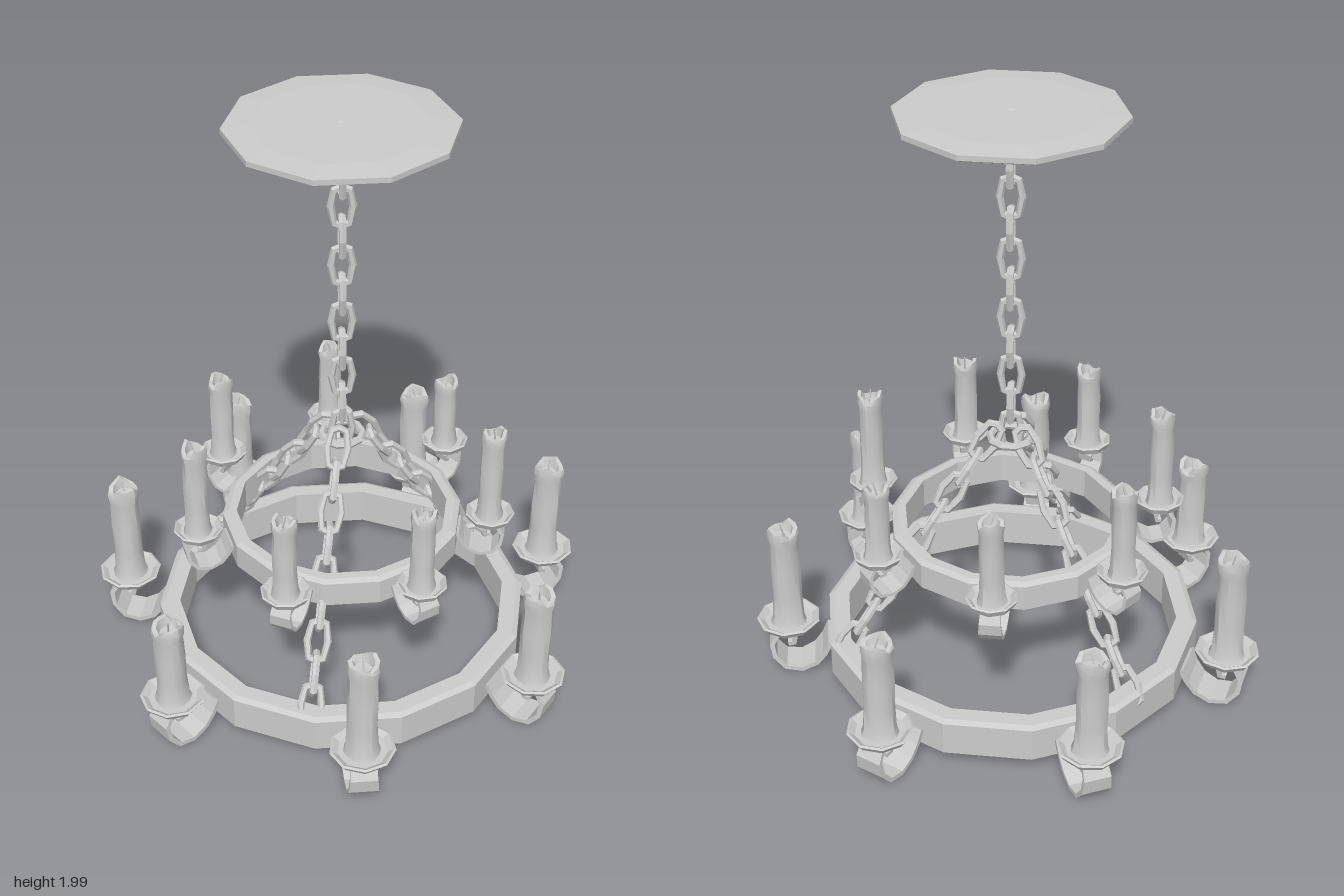
import * as THREE from 'three';
import { toCreasedNormals } from 'three/addons/utils/BufferGeometryUtils.js';

const flat = new THREE.MeshStandardMaterial({ color: 0xcccccc, flatShading: true });
const smooth = new THREE.MeshStandardMaterial({ color: 0xcccccc });
const UP = new THREE.Vector3(0, 1, 0);

function add(parent, name, geometry, material = flat) {
  const mesh = new THREE.Mesh(geometry, material);
  mesh.name = name;
  parent.add(mesh);
  return mesh;
}

function lathe(profile, sides, start = 0) {
  return new THREE.LatheGeometry(profile.map(p => new THREE.Vector2(...p)), sides, start);
}

// Hoop of rectangular section with chamfered outer edges
function hoopGeometry(rOut, rIn, y0, y1) {
  const c = 0.018;
  return lathe([[rIn, y0], [rOut - c, y0], [rOut, y0 + c / 2], [rOut, y1 - c / 2],
    [rOut - c, y1], [rIn, y1], [rIn, y0]], 14, Math.PI / 2);
}

// Oval link: a low-sided torus pulled apart along y
function linkGeometry() {
  const g = new THREE.TorusGeometry(0.034, 0.0125, 6, 8);
  const p = g.attributes.position;
  for (let i = 0; i < p.count; i++) {
    const y = p.getY(i);
    p.setY(i, y + 0.032 * THREE.MathUtils.clamp(y / 0.014, -1, 1));
  }
  return g;
}

// Links spaced from a to b, each turned a quarter from the last
function chain(parent, name, link, a, b, count) {
  const group = new THREE.Group();
  group.name = name;
  const align = new THREE.Quaternion().setFromUnitVectors(UP, a.clone().sub(b).normalize());
  for (let i = 0; i < count; i++) {
    const m = add(group, 'chainLink', link);
    m.position.lerpVectors(a, b, i / (count - 1));
    const turn = new THREE.Quaternion().setFromAxisAngle(UP, i % 2 ? Math.PI / 2 : 0);
    m.quaternion.copy(align).multiply(turn);
  }
  parent.add(group);
}

// Curled strap: rectangles swept along a path in the z-y plane, tapering to the tip
function strapGeometry() {
  const path = [[-0.135, 0.13], [-0.115, 0.085], [-0.085, 0.045], [-0.035, 0.02], [0.02, 0.03],
    [0.055, 0.075], [0.062, 0.125], [0.04, 0.162], [0.005, 0.168], [-0.018, 0.143], [-0.012, 0.115], [0.008, 0.112]];
  const pos = [], idx = [], n = path.length, half = 0.008;
  path.forEach(([z, y], i) => {
    const [z0, y0] = path[Math.max(i - 1, 0)], [z1, y1] = path[Math.min(i + 1, n - 1)];
    const len = Math.hypot(z1 - z0, y1 - y0);
    const ny = half * (z1 - z0) / len, nz = -half * (y1 - y0) / len;
    const w = 0.065 - 0.037 * i / (n - 1);
    pos.push(-w, y - ny, z - nz, w, y - ny, z - nz, w, y + ny, z + nz, -w, y + ny, z + nz);
    if (i === n - 1) return;
    for (let j = 0; j < 4; j++) {
      const a = i * 4 + j, b = i * 4 + (j + 1) % 4;
      idx.push(a, b, b + 4, a, b + 4, a + 4);
    }
  });
  const e = (n - 1) * 4;
  idx.push(0, 3, 2, 0, 2, 1, e, e + 1, e + 2, e, e + 2, e + 3);
  const g = new THREE.BufferGeometry();
  g.setAttribute('position', new THREE.Float32BufferAttribute(pos, 3));
  g.setIndex(idx);
  g.computeVertexNormals();
  return g;
}

// Partly melted candle: flared foot, uneven sides, ragged sunken top
function candleGeometry(r, h, seed) {
  const g = lathe([[0, 0], [r * 1.2, 0], [r * 1.03, 0.025], [r * 0.95, h * 0.3], [r * 0.98, h * 0.6],
    [r * 0.93, h * 0.85], [r * 1.05, h * 0.95], [r * 0.98, h], [r * 0.7, h], [r * 0.55, h - 0.025], [0, h - 0.03]], 12);
  const p = g.attributes.position;
  for (let i = 0; i < p.count; i++) {
    const x = p.getX(i), y = p.getY(i), z = p.getZ(i);
    if (Math.hypot(x, z) < 1e-3) continue;
    const a = Math.atan2(z, x);
    const k = 1 + 0.05 * Math.sin(3 * a + seed * 2 + y * 9) + 0.03 * Math.sin(2 * a - seed);
    const lift = y > h * 0.97 ? 0.012 * Math.sin(2 * a + seed * 3) + 0.006 * Math.sin(5 * a + seed) : 0;
    p.setXYZ(i, x * k, y + lift, z * k);
  }
  return toCreasedNormals(g, 0.7);
}

// One tier: hoop plus seven arms, each with strap, drip dish and candle
function tier(parent, o) {
  const group = new THREE.Group();
  group.name = o.name;
  parent.add(group);
  add(group, 'hoop', hoopGeometry(o.rOut, o.rIn, o.y0, o.y1));
  const strap = strapGeometry();
  const d = o.dishR;
  const dish = lathe([[0, 0], [d * 0.55, 0], [d * 0.85, 0.01], [d, 0.033], [d * 0.93, 0.037],
    [d * 0.75, 0.022], [0, 0.02]], 9);
  o.heights.forEach((h, i) => {
    const arm = new THREE.Group();
    arm.name = 'candleArm';
    arm.rotation.y = o.start + i * Math.PI * 2 / 7;
    group.add(arm);
    const s = add(arm, 'scrollStrap', strap);
    s.scale.setScalar(o.scale);
    s.position.set(0, o.dishY - 0.175 * o.scale, o.armR);
    add(arm, 'dripDish', dish).position.set(0, o.dishY, o.armR);
    const seed = i * 1.7 + o.scale * 5;
    const c = add(arm, 'candle', candleGeometry(o.candleR, h, seed), smooth);
    c.position.set(0, o.dishY + 0.018, o.armR);
    const w = add(arm, 'wick', new THREE.CylinderGeometry(0.002, 0.004, 0.06, 5));
    w.position.set(0, o.dishY + h + 0.012, o.armR);
    w.rotation.set(0.25 * Math.sin(seed), 0, 0.3 * Math.cos(seed));
  });
}

export function createModel() {
  const model = new THREE.Group();
  model.name = 'chandelier';
  const body = new THREE.Group();
  body.name = 'body';
  body.position.set(0, 0, -0.035);
  model.add(body);

  // Ceiling plate in two steps
  add(body, 'ceilingPlate', lathe([[0, 1.935], [0.265, 1.935], [0.275, 1.96], [0.335, 1.965],
    [0.355, 1.975], [0.355, 1.992], [0.27, 1.998], [0, 1.998]], 10, Math.PI / 2));

  // Main chain, gathering ring and three spreading chains
  const link = linkGeometry();
  const V = (x, y, z) => new THREE.Vector3(x, y, z);
  chain(body, 'mainChain', link, V(0, 1.925, 0), V(0, 0.905, 0), 11);
  const gather = add(body, 'gatheringRing', new THREE.TorusGeometry(0.068, 0.013, 6, 10));
  gather.rotation.x = Math.PI / 2;
  gather.position.y = 0.88;
  [-27, 105, 222].forEach(deg => {
    const a = THREE.MathUtils.degToRad(deg), c = Math.cos(a), s = Math.sin(a);
    chain(body, 'spreadingChain', link, V(0.085 * c, 0.88, 0.085 * s), V(0.57 * c, 0.2, 0.57 * s), 9);
  });

  // Heights run from the first arm toward the model's left
  tier(body, { name: 'lowerTier', rOut: 0.635, rIn: 0.565, y0: 0.06, y1: 0.195, start: 0,
    armR: 0.757, dishR: 0.108, dishY: 0.175, candleR: 0.05, scale: 1,
    heights: [0.38, 0.355, 0.375, 0.35, 0.35, 0.38, 0.315] });
  tier(body, { name: 'upperTier', rOut: 0.402, rIn: 0.355, y0: 0.475, y1: 0.58, start: Math.PI,
    armR: 0.497, dishR: 0.083, dishY: 0.573, candleR: 0.04, scale: 0.76,
    heights: [0.295, 0.31, 0.34, 0.295, 0.295, 0.34, 0.26] });
  return model;
}
